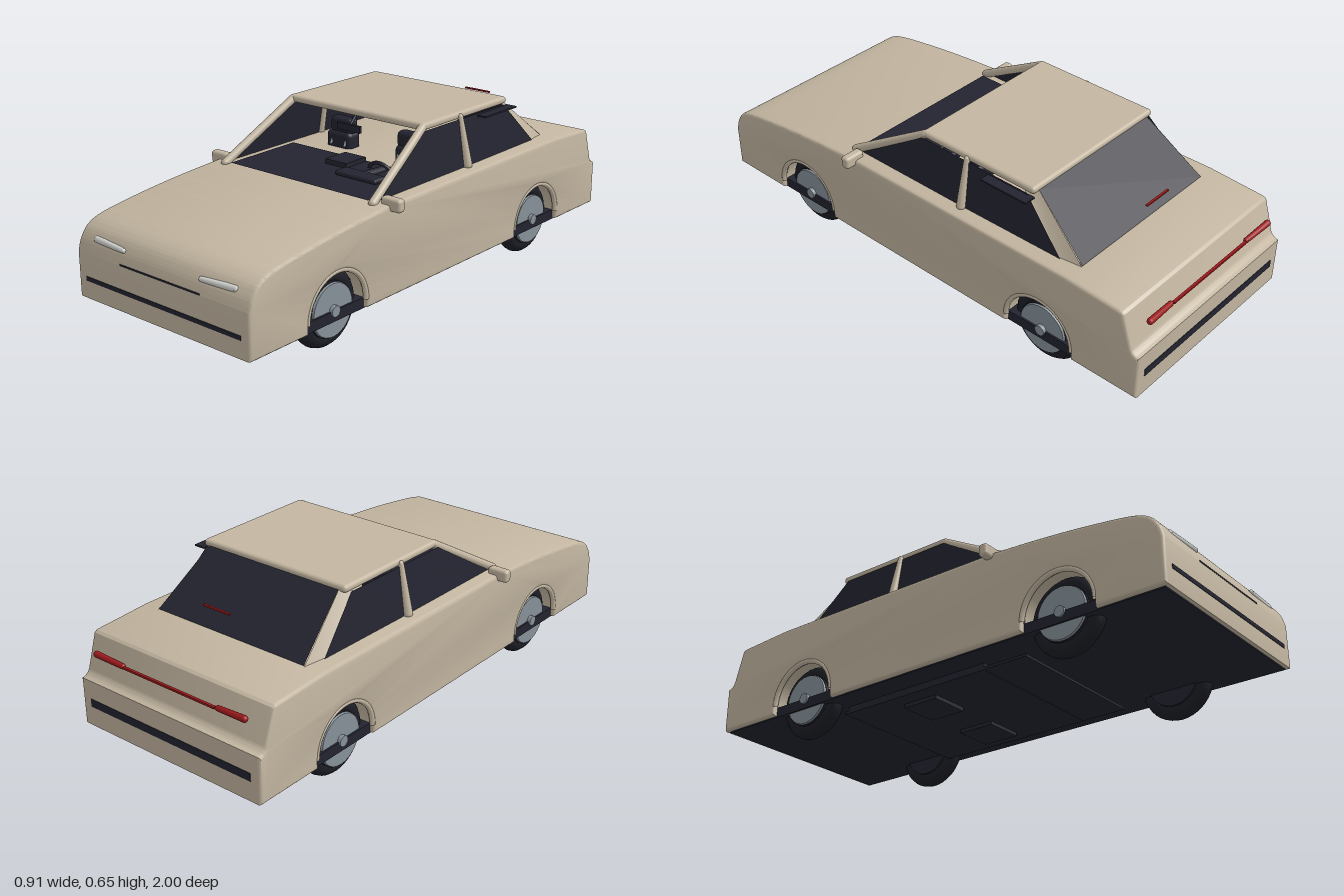
import * as THREE from 'three';
import { toCreasedNormals } from 'three/addons/utils/BufferGeometryUtils.js';
import { RoundedBoxGeometry } from 'three/addons/geometries/RoundedBoxGeometry.js';

const mat = (name, color, side = THREE.FrontSide) => {
  const m = new THREE.MeshStandardMaterial({ color, side });
  m.name = name;
  return m;
};

export function createModel() {
  const car = new THREE.Group();
  car.name = 'car';
  const paint = mat('beige paint', 0xc3b6a1, THREE.DoubleSide);
  const dark = mat('dark trim', 0x232430);
  const glass = mat('dark glass', 0x232430, THREE.DoubleSide);
  const rubber = mat('tyre rubber', 0x1d1e26);
  const alloy = mat('alloy grey', 0x87929a);
  const chrome = mat('pale lamp', 0xd2d3d0);
  const red = mat('red lamp', 0x9c1a1c);

  const add = (name, geo, material, x = 0, y = 0, z = 0, parent = car) => {
    const m = new THREE.Mesh(geo, material);
    m.name = name;
    m.position.set(x, y, z);
    parent.add(m);
    return m;
  };
  const box = (name, m, w, h, d, x, y, z) => add(name, new THREE.BoxGeometry(w, h, d), m, x, y, z);
  const rbox = (name, m, w, h, d, r, x, y, z) => add(name, new RoundedBoxGeometry(w, h, d, 3, r), m, x, y, z);
  // Flat polygon given by its corners in order
  const panel = (name, m, pts) => {
    const g = new THREE.BufferGeometry();
    g.setAttribute('position', new THREE.Float32BufferAttribute(pts.flat(), 3));
    const idx = [];
    for (let i = 1; i < pts.length - 1; i++) idx.push(0, i, i + 1);
    g.setIndex(idx);
    g.computeVertexNormals();
    return add(name, g, m);
  };
  // Round bar between two points, optionally tapered
  const bar = (name, m, a, b, ra, rb = ra) => {
    const A = new THREE.Vector3(...a), B = new THREE.Vector3(...b);
    const d = B.clone().sub(A);
    const mesh = add(name, new THREE.CylinderGeometry(rb, ra, d.length(), 14), m);
    mesh.position.copy(A).add(B).multiplyScalar(0.5);
    mesh.quaternion.setFromUnitVectors(new THREE.Vector3(0, 1, 0), d.normalize());
    for (const [p, r] of [[A, ra], [B, rb]]) add(name + 'End', new THREE.SphereGeometry(r, 14, 10), m, p.x, p.y, p.z);
  };

  // Lower body: side profile with wheel arches, extruded across the width
  const axles = [0.59, -0.58], wheelY = 0.143, archR = 0.146;
  const s = new THREE.Shape();
  s.moveTo(-1, 0.11);
  for (const z of axles) {
    s.lineTo(-z - archR, 0.11);
    s.lineTo(-z - archR, wheelY);
    s.absarc(-z, wheelY, archR, Math.PI, 0, true);
    s.lineTo(-z + archR, 0.11);
  }
  s.lineTo(1, 0.11);
  s.lineTo(1, 0.285);
  s.quadraticCurveTo(0.975, 0.29, 0.968, 0.31);
  s.lineTo(0.932, 0.425);
  s.quadraticCurveTo(0.93, 0.437, 0.91, 0.439);
  s.lineTo(0.69, 0.452);
  s.lineTo(-0.33, 0.445);
  s.splineThru([[-0.52, 0.432], [-0.7, 0.414], [-0.88, 0.388], [-0.95, 0.362], [-0.985, 0.32], [-1, 0.275]]
    .map(p => new THREE.Vector2(...p)));
  s.closePath();
  const bev = 0.012, halfW = 0.415;
  const bodyGeo = new THREE.ExtrudeGeometry(s, {
    depth: 2 * (halfW - bev), curveSegments: 20,
    bevelEnabled: true, bevelSize: bev, bevelThickness: bev, bevelOffset: -bev, bevelSegments: 3,
  });
  bodyGeo.translate(0, 0, -(halfW - bev));
  bodyGeo.rotateY(Math.PI / 2);
  add('body', toCreasedNormals(bodyGeo, 0.6), paint);

  // Roof
  rbox('roof', paint, 0.65, 0.028, 0.515, 0.013, 0, 0.636, -0.22);

  // Underside
  box('floorPan', dark, 0.79, 0.039, 1.97, 0, 0.1245, 0);
  box('floorTray', dark, 0.6, 0.028, 0.64, 0, 0.093, -0.12);
  box('floorRail', dark, 0.6, 0.01, 0.84, 0, 0.085, -0.04);

  // Rear window, dashboard and deck lamp
  panel('rearWindow', glass, [[-0.335, 0.455, -0.7], [-0.295, 0.632, -0.475], [0.295, 0.632, -0.475], [0.335, 0.455, -0.7]]);
  panel('dashboard', glass, [[-0.33, 0.449, 0.345], [0.33, 0.449, 0.345], [0.32, 0.456, 0.02], [-0.32, 0.456, 0.02]]);
  box('highBrakeLamp', red, 0.12, 0.006, 0.008, 0, 0.57, -0.745);
  box('tailLampBar', red, 0.42, 0.008, 0.01, 0, 0.381, -0.98);

  // Front and rear dark strips
  box('frontStrip', dark, 0.745, 0.016, 0.006, 0, 0.183, 0.999);
  box('grilleSlot', dark, 0.385, 0.006, 0.008, 0, 0.278, 0.997);
  box('rearStrip', dark, 0.745, 0.03, 0.006, 0, 0.2, -0.999);

  // Cabin fittings
  box('console', dark, 0.1, 0.02, 0.11, 0, 0.462, 0.08);
  rbox('instrumentHood', dark, 0.19, 0.018, 0.065, 0.008, 0.16, 0.462, 0.185);
  bar('steeringColumn', dark, [0.16, 0.455, 0.15], [0.16, 0.45, 0.05], 0.018);
  const wheelRim = add('steeringWheel', new THREE.TorusGeometry(0.06, 0.007, 8, 28), dark, 0.16, 0.43, 0.06);
  wheelRim.rotation.x = 0.4;
  box('cabinMirror', dark, 0.11, 0.026, 0.012, 0, 0.583, 0.06);
  bar('cabinMirrorStem', dark, [0, 0.59, 0.055], [0, 0.625, 0.02], 0.006);
  box('quarterFlap', dark, 0.045, 0.006, 0.2, 0.345, 0.615, -0.38);

  for (const k of [-1, 1]) {
    // Roof pillars
    bar('frontPillar', paint, [k * 0.355, 0.445, 0.35], [k * 0.312, 0.632, 0.03], 0.016);
    bar('middlePillar', paint, [k * 0.362, 0.455, -0.183], [k * 0.325, 0.632, -0.18], 0.017, 0.011);
    panel('rearPillar', paint, [[k * 0.35, 0.448, -0.61], [k * 0.338, 0.448, -0.705], [k * 0.296, 0.634, -0.475], [k * 0.326, 0.626, -0.44]]);
    // Side windows
    panel('frontSideWindow', glass, [[k * 0.357, 0.447, 0.33], [k * 0.357, 0.449, -0.175], [k * 0.328, 0.624, -0.175], [k * 0.328, 0.624, 0.04]]);
    panel('rearSideWindow', glass, [[k * 0.357, 0.449, -0.185], [k * 0.353, 0.452, -0.62], [k * 0.328, 0.624, -0.45], [k * 0.328, 0.624, -0.185]]);
    // Door mirrors
    rbox('doorMirror', paint, 0.084, 0.048, 0.036, 0.012, k * 0.412, 0.446, 0.312);
    // Headlamps and tail lamps
    bar('headlamp', chrome, [k * 0.332, 0.326, 0.972], [k * 0.187, 0.325, 0.984], 0.014, 0.009);
    bar('tailLamp', red, [k * 0.34, 0.39, -0.983], [k * 0.22, 0.381, -0.976], 0.012, 0.01);
    // Seats with headrests on posts
    rbox('seatBack', dark, 0.12, 0.12, 0.07, 0.02, k * 0.168, 0.45, -0.1);
    rbox('headrest', dark, 0.106, 0.066, 0.05, 0.018, k * 0.163, 0.53, -0.1);
    for (const p of [-0.034, 0.034]) bar('headrestPost', alloy, [k * 0.163 + p, 0.46, -0.06], [k * 0.163 + p, 0.51, -0.09], 0.005);
    // Plates under the floor
    box('floorPlate', dark, 0.155, 0.015, 0.15, k * 0.16, 0.0725, -0.145);

    for (const z of axles) {
      // Wheel arch lip
      const lip = add('archLip', new THREE.TorusGeometry(archR, 0.01, 8, 28, Math.PI), paint, k * 0.406, wheelY, z);
      lip.rotation.y = Math.PI / 2;
      // Wheel: rounded tyre, drum, rim face, hub
      const wheel = new THREE.Group();
      wheel.name = 'wheel';
      wheel.position.set(k * 0.34, wheelY, z);
      wheel.rotation.z = -k * Math.PI / 2;
      car.add(wheel);
      const tyre = add('tyre', new THREE.TorusGeometry(0.109, 0.033, 14, 40), rubber, 0, 0, 0, wheel);
      tyre.rotation.x = Math.PI / 2;
      add('drum', new THREE.CylinderGeometry(0.1, 0.1, 0.08, 32), dark, 0, 0, 0, wheel);
      add('rim', new THREE.CylinderGeometry(0.095, 0.097, 0.008, 32), alloy, 0, 0.044, 0, wheel);
      add('hub', new THREE.CylinderGeometry(0.02, 0.02, 0.02, 20), alloy, 0, 0.052, 0, wheel);
    }
  }
  return car;
}
